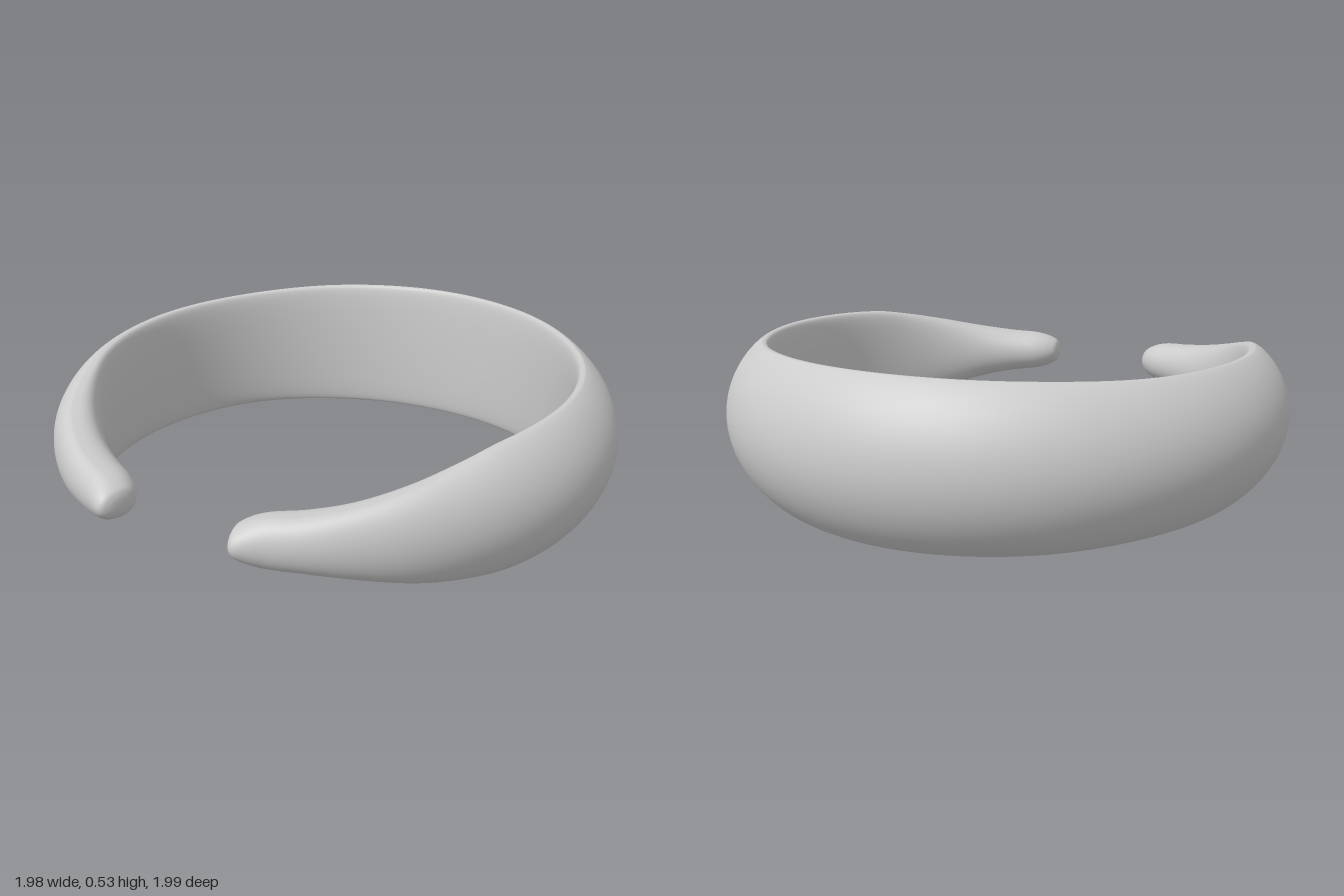
import * as THREE from 'three';

// Stations along one arm, from the tip to the middle of the back:
// [angle from front (deg), inner radius, outer radius, ridge radius, half height, outer power, inner power]
const STATIONS = [
  [12.6, 0.925, 0.985, 0.955, 0.022, 1.0, 1.0],
  [13.0, 0.90, 1.01, 0.95, 0.040, 1.0, 0.95],
  [14.0, 0.88, 1.023, 0.95, 0.053, 1.0, 0.9],
  [16.0, 0.86, 1.02, 0.95, 0.068, 1.0, 0.85],
  [19.0, 0.845, 1.012, 0.95, 0.079, 1.0, 0.8],
  [25.0, 0.835, 1.006, 0.947, 0.088, 1.0, 0.75],
  [34.0, 0.83, 1.0, 0.94, 0.112, 1.05, 0.7],
  [45.0, 0.827, 0.998, 0.92, 0.152, 1.15, 0.6],
  [55.0, 0.824, 0.995, 0.89, 0.187, 1.3, 0.55],
  [66.0, 0.822, 0.992, 0.87, 0.216, 1.45, 0.5],
  [90.0, 0.82, 0.99, 0.86, 0.235, 1.6, 0.5],
  [125.0, 0.825, 0.992, 0.86, 0.246, 1.6, 0.5],
  [150.0, 0.829, 0.997, 0.86, 0.26, 1.6, 0.5],
  [180.0, 0.831, 1.0, 0.86, 0.267, 1.6, 0.5],
];
const MID_Y = 0.267;

// Smooth (Hermite) interpolation of the station values at an angle
function stationAt(deg) {
  const last = STATIONS.length - 1;
  let k = 0;
  while (k < last - 1 && deg > STATIONS[k + 1][0]) k++;
  const a = STATIONS[k], b = STATIONS[k + 1], span = b[0] - a[0];
  const t = THREE.MathUtils.clamp((deg - a[0]) / span, 0, 1);
  const slope = (i, c) => {
    if (i === last) return 0;
    const p = STATIONS[Math.max(i - 1, 0)], q = STATIONS[i + 1];
    return (q[c] - p[c]) / (q[0] - p[0]);
  };
  return a.map((v, c) => {
    const m0 = slope(k, c) * span, m1 = slope(k + 1, c) * span;
    return v * (2 * t ** 3 - 3 * t * t + 1) + m0 * (t ** 3 - 2 * t * t + t)
      + b[c] * (3 * t * t - 2 * t ** 3) + m1 * (t ** 3 - t * t);
  });
}

// Closed loft: domed outside, flatter inside, rounded tips
function bandGeometry(rings = 241, sides = 64) {
  const positions = [], index = [];
  const put = (r, y, angle) => positions.push(r * Math.sin(angle), MID_Y + y, r * Math.cos(angle));
  const tip = STATIONS[0][0];
  for (let i = 0; i < rings; i++) {
    const u = (i / (rings - 1)) * 2 - 1;
    const deg = tip + (180 - tip) * Math.pow(1 - Math.abs(u), 1.5);
    const [, inner, outer, ridge, half, pOut, pIn] = stationAt(deg);
    const angle = THREE.MathUtils.degToRad(u <= 0 ? deg : 360 - deg);
    for (let j = 0; j < sides; j++) {
      const a = (j / sides) * Math.PI * 2;
      const c = Math.cos(a);
      const r = c >= 0
        ? ridge + (outer - ridge) * Math.pow(c, pOut)
        : ridge - (ridge - inner) * Math.pow(-c, pIn);
      put(r, half * Math.sin(a), angle);
    }
  }
  for (let i = 0; i < rings - 1; i++) {
    for (let j = 0; j < sides; j++) {
      const n = (j + 1) % sides;
      const a = i * sides + j, b = a + sides, c = i * sides + n, d = c + sides;
      index.push(a, b, c, b, d, c);
    }
  }
  // Tip closures
  const startPole = rings * sides, endPole = startPole + 1;
  const poleAngle = THREE.MathUtils.degToRad(tip - 0.15);
  put(0.955, 0, poleAngle);
  put(0.955, 0, -poleAngle);
  const lastRing = (rings - 1) * sides;
  for (let j = 0; j < sides; j++) {
    const n = (j + 1) % sides;
    index.push(startPole, j, n, endPole, lastRing + n, lastRing + j);
  }
  const geometry = new THREE.BufferGeometry();
  geometry.setAttribute('position', new THREE.Float32BufferAttribute(positions, 3));
  geometry.setIndex(index);
  geometry.computeVertexNormals();
  return geometry;
}

export function createModel() {
  const group = new THREE.Group();
  group.name = 'openCuff';
  const band = new THREE.Mesh(bandGeometry(), new THREE.MeshStandardMaterial({ color: 0xcccccc }));
  band.name = 'taperedBand';
  group.add(band);
  return group;
}
